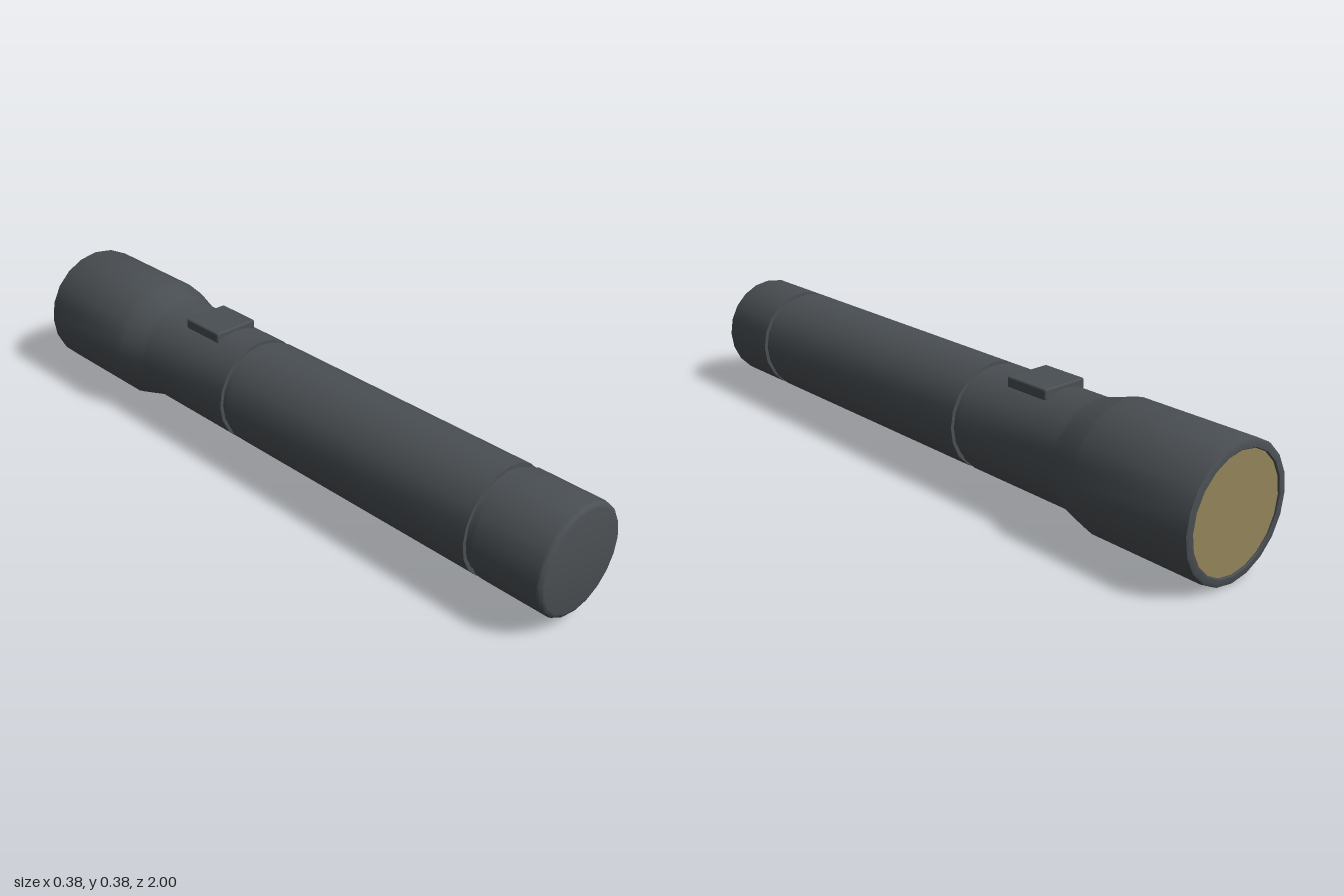
import * as THREE from 'three';
import { toCreasedNormals } from 'three/addons/utils/BufferGeometryUtils.js';
import { RoundedBoxGeometry } from 'three/addons/geometries/RoundedBoxGeometry.js';

const SIDES = 20;
const AXIS_Y = 0.188;

export function createModel() {
  const group = new THREE.Group();
  const casing = new THREE.MeshStandardMaterial({ name: 'charcoal casing', color: 0x4a4f53 });
  const glass = new THREE.MeshStandardMaterial({ name: 'amber lens', color: 0x93855a });

  function add(name, geometry, material, y = AXIS_Y, z = 0) {
    const mesh = new THREE.Mesh(geometry, material);
    mesh.name = name;
    mesh.position.set(0, y, z);
    group.add(mesh);
  }

  // Turned part along z; profile is [radius, z] with z rising on the outside
  function turned(name, profile) {
    const points = profile.map(([r, z]) => new THREE.Vector2(r, z));
    const geometry = new THREE.LatheGeometry(points, SIDES).rotateX(Math.PI / 2);
    add(name, toCreasedNormals(geometry, 0.6), casing);
  }

  const R = 0.158, CORE = 0.147;

  // Flared head with a thin rim around the lens, tapering into the neck
  turned('head', [
    [0.163, -0.985], [0.163, -0.998], [0.165, -1], [0.18, -1], [0.186, -0.997], [0.188, -0.99],
    [0.188, -0.64], [0.184, -0.622], [0.162, -0.545], [R, -0.53],
    [R, -0.17], [CORE, -0.17],
  ]);

  // Main grip between the two grooves
  turned('grip', [[CORE, -0.145], [R, -0.145], [R, 0.76], [CORE, 0.76]]);

  // Tail cap with a rounded edge
  turned('tailCap', [
    [CORE, 0.785], [R, 0.785], [R, 0.985], [0.156, 0.9925], [0.1505, 0.998], [0.143, 1], [0, 1],
  ]);

  // Recessed bands showing in the grooves
  for (const [name, z] of [['frontGroove', -0.1575], ['rearGroove', 0.7725]]) {
    turned(name, [[CORE, z - 0.0125], [CORE, z + 0.0125]]);
  }

  // Lens set just inside the rim
  add('lens', new THREE.CircleGeometry(0.163, SIDES).rotateY(Math.PI), glass, AXIS_Y, -0.994);

  // Switch button on top of the neck
  add('switchButton', new RoundedBoxGeometry(0.146, 0.032, 0.146, 2, 0.006), casing, 0.341, -0.35);

  return group;
}
